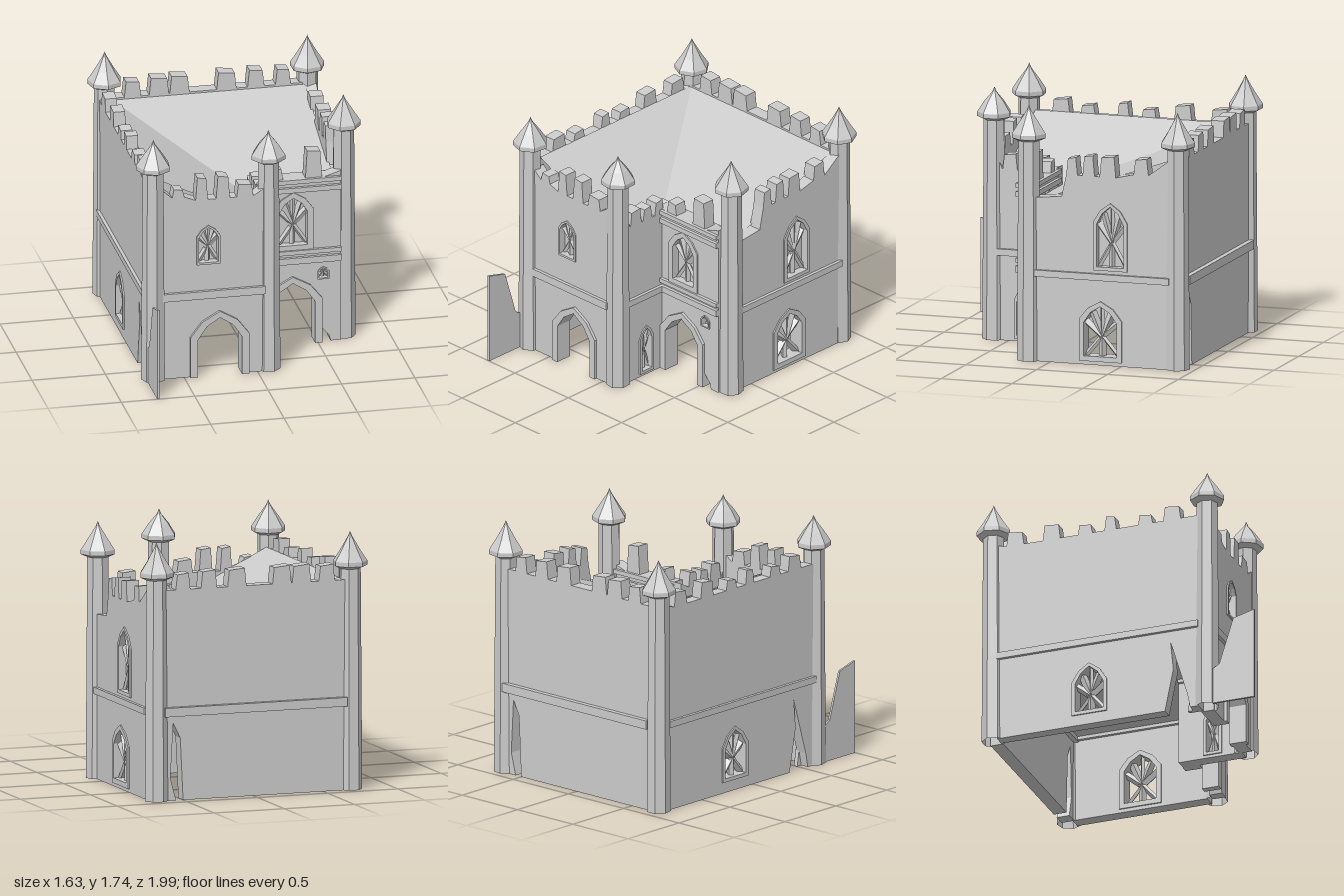
import * as THREE from 'three';

const mat = new THREE.MeshStandardMaterial({ color: 0xcccccc, flatShading: true, side: THREE.DoubleSide });

function add(parent, geo, name, x = 0, y = 0, z = 0) {
  const m = new THREE.Mesh(geo, mat);
  m.name = name;
  m.position.set(x, y, z);
  parent.add(m);
  return m;
}

const toShape = pts => new THREE.Shape(pts.map(p => new THREE.Vector2(p[0], p[1])));
const extrude = (shape, depth) => new THREE.ExtrudeGeometry(shape, { depth, bevelEnabled: false });

// Pointed opening: straight jambs, sloped shoulders, apex
function archPoints(l, r, bottom, shoulder, apex) {
  const w = r - l, h = apex - shoulder;
  return [[l, bottom], [l, shoulder], [l + w * 0.2, shoulder + h * 0.6], [(l + r) / 2, apex],
    [r - w * 0.2, shoulder + h * 0.6], [r, shoulder], [r, bottom]];
}

// Window fittings: raised surround, optional pane, crooked star tracery
function addWindow(wall, t, w) {
  const inner = archPoints(w.l, w.r, w.b, w.s, w.a);
  const f = w.frame ?? 0.025;
  const ring = toShape(archPoints(w.l - f, w.r + f, w.b - f, w.s + f * 0.5, w.a + f));
  ring.holes.push(toShape(inner));
  add(wall, extrude(ring, t + 0.02), 'windowSurround', 0, 0, -0.01);
  if (w.pane) add(wall, new THREE.ShapeGeometry(toShape(inner)), 'windowPane', 0, 0, t / 2);
  const cx = (w.l + w.r) / 2, cy = (w.b + w.s) / 2 + 0.02;
  inner.concat([[cx, w.b]]).forEach(([x, y], i) => {
    const dx = x - cx, dy = y - cy;
    const bar = add(wall, new THREE.BoxGeometry(Math.hypot(dx, dy), 0.022 + 0.008 * (i % 3), 0.04),
      'windowTracery', cx + dx / 2, cy + dy / 2, t / 2);
    bar.rotation.z = Math.atan2(dy, dx);
    bar.rotateX(0.5 * (i % 2 ? 1 : -1));
  });
}

// Battlement skyline: start and end heights, then tapered merlons [left, right, height, foot]
function skyline(u0, h0, u1, h1, base, merlons) {
  const pts = [[u0, h0]];
  for (const [l, r, h, b = base] of merlons) pts.push([l - 0.012, b], [l, h], [r, h - 0.01], [r + 0.012, b]);
  return [...pts, [u1, h1]];
}

// Wall with its length along x, or along z when side is true
function buildWall(g, { name, side, at, t = 0.09, top, doors = [], windows = [], ledges = [[0.6, 0.045]] }) {
  const u0 = top[0][0], u1 = top[top.length - 1][0];
  const shape = toShape([[u0, 0], ...doors.flat(), [u1, 0], ...[...top].reverse()]);
  for (const w of windows) shape.holes.push(toShape(archPoints(w.l, w.r, w.b, w.s, w.a)));
  const wall = add(g, extrude(shape, t), name);
  if (side) {
    wall.rotation.y = -Math.PI / 2;
    wall.position.x = at + t / 2;
  } else wall.position.z = at - t / 2;
  for (const [y, h, out = 0.045] of ledges)
    add(wall, new THREE.BoxGeometry(u1 - u0, h, t + out), 'stringCourse', (u0 + u1) / 2, y, t / 2);
  windows.forEach(w => addWindow(wall, t, w));
  return wall;
}

// Doorway surround standing slightly proud of its wall
function doorSurround(wall, t, l, r, s, a) {
  const o = archPoints(l - 0.05, r + 0.05, 0, s + 0.02, a + 0.045);
  const i = archPoints(l, r, 0, s, a);
  add(wall, extrude(toShape([...o, ...i.reverse()]), t + 0.03), 'doorSurround', 0, 0, -0.01);
}

export function createModel() {
  const g = new THREE.Group();
  g.name = 'castle';

  // Corner towers with pointed caps
  const towers = [[-0.705, -0.88, 1.74], [0.675, -0.88, 1.74], [0.695, 0.16, 1.73], [0.085, 0.615, 1.71], [-0.705, 0.645, 1.72]];
  towers.forEach(([x, z, tip], i) => {
    const profile = [[0.082, 0], [0.078, 0.6], [0.072, 1.49], [0.116, 1.51], [0.116, 1.54], [0.07, 1.61],
      [0.015, tip - 0.035], [0, tip]].map(p => new THREE.Vector2(...p));
    add(g, new THREE.LatheGeometry(profile, 7), 'tower', x, 0, z).rotation.y = i * 0.7;
  });

  // Back wall
  buildWall(g, {
    name: 'backWall', at: -0.875,
    top: skyline(-0.66, 1.42, 0.64, 1.42, 1.42, [[-0.57, -0.48, 1.53], [-0.4, -0.29, 1.54], [-0.26, -0.15, 1.54],
      [0.06, 0.17, 1.54], [0.27, 0.36, 1.54], [0.46, 0.54, 1.53]]),
    doors: [[[0.5, 0], [0.52, 0.42], [0.57, 0.52], [0.59, 0.15], [0.55, 0]]],
    ledges: [[0.6, 0.06, 0.07]],
  });

  // Left-hand long wall (-x)
  buildWall(g, {
    name: 'longSideWall', side: true, at: -0.71, t: 0.08,
    top: skyline(-0.84, 1.42, 0.6, 1.4, 1.4, [[-0.76, -0.66, 1.5], [-0.5, -0.4, 1.51], [-0.25, -0.17, 1.47],
      [-0.06, 0, 1.5], [0.18, 0.26, 1.47], [0.36, 0.46, 1.5]]),
    doors: [[[0.36, 0.0], [0.42, 0.3], [0.4, 0.5], [0.52, 0.1], [0.54, 0]]],
    windows: [{ l: -0.28, r: -0.08, b: 0.1, s: 0.3, a: 0.42 }],
  });

  // Short side wall (+x), its parapet dropping low beside the front tower
  buildWall(g, {
    name: 'shortSideWall', side: true, at: 0.68,
    top: [...skyline(-0.84, 1.42, -0.08, 1.13, 1.28, [[-0.68, -0.6, 1.42, 1.31], [-0.45, -0.36, 1.42],
      [-0.3, -0.24, 1.42], [-0.18, -0.125, 1.4]]), [0.12, 1.11]],
    windows: [{ l: -0.52, r: -0.33, b: 0.67, s: 0.96, a: 1.08, pane: true },
      { l: -0.47, r: -0.24, b: 0.06, s: 0.29, a: 0.4, frame: 0.035 }],
  });

  // Front wall with pointed doorway
  const front = buildWall(g, {
    name: 'frontWall', at: 0.625,
    top: skyline(-0.65, 1.36, 0.05, 1.32, 1.27, [[-0.57, -0.51, 1.36, 1.3], [-0.41, -0.35, 1.43], [-0.27, -0.2, 1.43], [-0.13, -0.04, 1.36]]),
    doors: [archPoints(-0.41, -0.11, 0, 0.27, 0.42)],
    windows: [{ l: -0.4, r: -0.27, b: 0.82, s: 1.0, a: 1.07, pane: true, frame: 0.015 }],
    ledges: [[0.59, 0.055]],
  });
  doorSurround(front, 0.09, -0.41, -0.11, 0.27, 0.42);

  // Return wall between the front wing and the recess
  buildWall(g, {
    name: 'returnWall', side: true, at: 0.085,
    top: skyline(0.15, 1.2, 0.6, 1.28, 1.16, [[0.24, 0.3, 1.26], [0.35, 0.41, 1.25], [0.45, 0.53, 1.27]]),
    windows: [{ l: 0.35, r: 0.44, b: 0.04, s: 0.27, a: 0.35, frame: 0.02 }],
  });

  // Recessed front wall with cornice, large window and doorway
  const recess = buildWall(g, {
    name: 'recessedWall', at: 0.2,
    top: skyline(0.1, 1.2, 0.66, 1.22, 1.18, [[0.19, 0.255, 1.27], [0.43, 0.52, 1.38]]),
    doors: [archPoints(0.18, 0.48, 0, 0.3, 0.44), [[0.5, 0], [0.53, 0.1], [0.58, 0.04], [0.59, 0]]],
    windows: [{ l: 0.24, r: 0.43, b: 0.71, s: 0.95, a: 1.05, pane: true, frame: 0.04 },
      { l: 0.51, r: 0.57, b: 0.46, s: 0.5, a: 0.53, frame: 0.01 }],
    ledges: [[0.6, 0.045], [0.66, 0.03], [1.11, 0.035], [1.17, 0.03]],
  });
  doorSurround(recess, 0.09, 0.18, 0.48, 0.3, 0.44);

  // Storey floor, following the L-shaped plan
  const floor = toShape([[-0.7, 0.88], [0.68, 0.88], [0.68, -0.2], [0.08, -0.2], [0.08, -0.62], [-0.7, -0.62]]);
  add(g, new THREE.ShapeGeometry(floor), 'storeyFloor', 0, 0.6, 0).rotation.x = -Math.PI / 2;

  // Two roof slopes falling from the high walls and meeting in a diagonal valley
  const slopes = new THREE.BufferGeometry();
  slopes.setAttribute('position', new THREE.Float32BufferAttribute([
    -0.67, 1.41, -0.84, -0.67, 1.41, 0.59, 0.05, 1.06, 0.59, 0.05, 1.06, 0.17,
    0.65, 1.06, 0.17, 0.65, 1.41, -0.84], 3));
  slopes.setIndex([0, 1, 2, 0, 2, 3, 0, 3, 4, 0, 4, 5]);
  slopes.computeVertexNormals();
  add(g, slopes, 'roofSlopes');

  // Broken wall stub projecting forward
  const stub = toShape([[0.7, 0], [1, 0], [1, 0.64], [0.85, 0.6], [0.75, 0.28], [0.7, 0.25]]);
  add(g, extrude(stub, 0.015), 'wallStub', -0.74).rotation.y = -Math.PI / 2;

  // Leaning buttress beside the front-left tower
  const butt = toShape([[0.5, 0], [0.6, 0], [0.6, 0.6], [0.68, 0.62], [0.56, 0.34]]);
  add(g, extrude(butt, 0.03), 'buttress', -0.66).rotation.y = -Math.PI / 2;

  return g;
}
